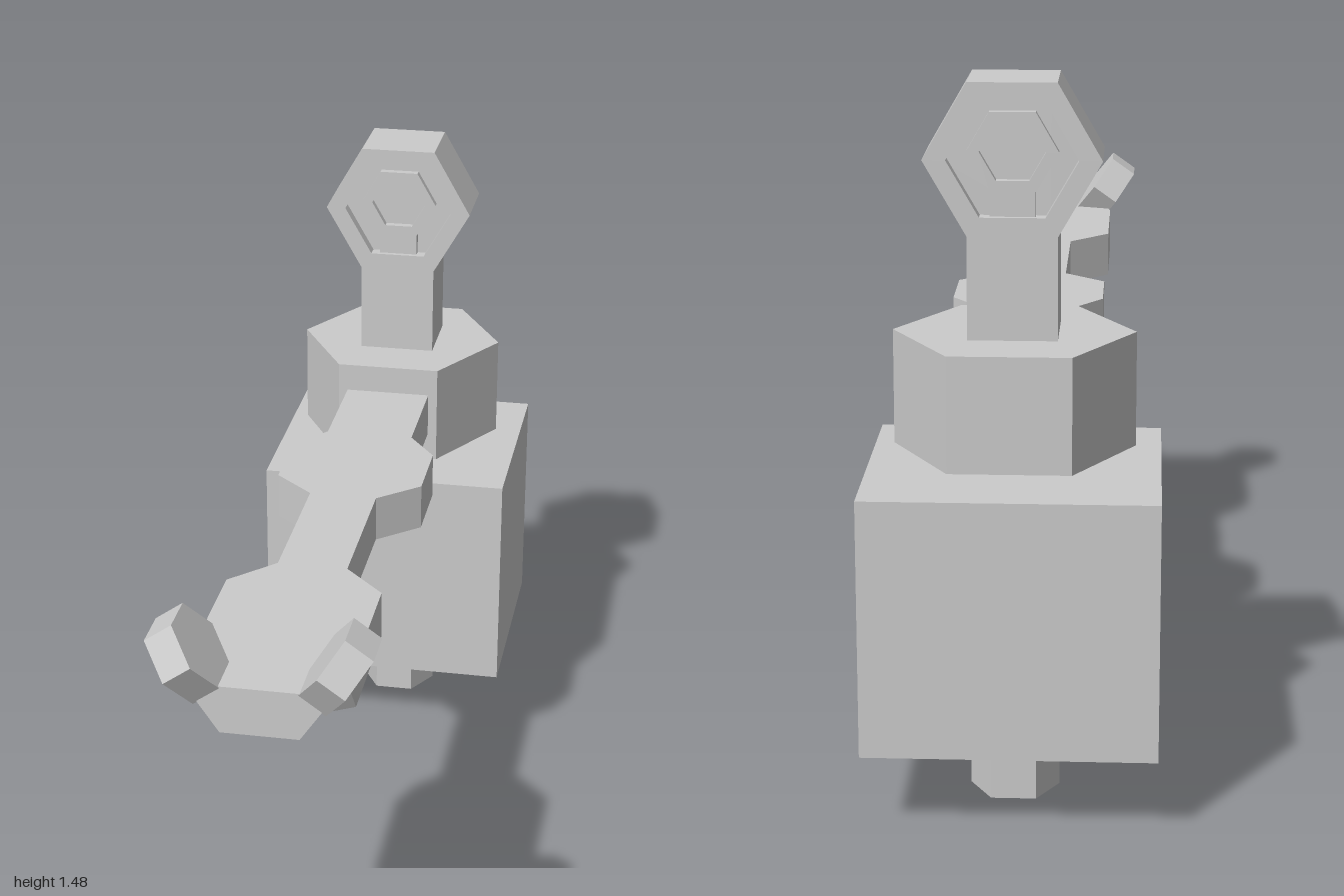
import * as THREE from 'three';

const material = new THREE.MeshStandardMaterial({ color: 0xcccccc, flatShading: true, side: THREE.DoubleSide });
const AXIS_Z = -0.735; // depth of the upright axis

function add(parent, name, geometry, x = 0, y = 0, z = 0) {
  const mesh = new THREE.Mesh(geometry, material);
  mesh.name = name;
  mesh.position.set(x, y, z);
  parent.add(mesh);
  return mesh;
}

// Upright hexagonal prism with corners on the x axis
function hexPrism(radius, height) {
  return new THREE.CylinderGeometry(radius, radius, height, 6).rotateY(Math.PI / 6);
}

function hexPoints(radius, cy = 0) {
  return Array.from({ length: 6 }, (_, i) => {
    const a = (i * Math.PI) / 3;
    return new THREE.Vector2(radius * Math.cos(a), cy + radius * Math.sin(a));
  });
}

// Hexagonal plate facing z, optionally with a hexagonal hole
function hexPlate(radius, depth, holeRadius = 0, holeY = 0) {
  const shape = new THREE.Shape(hexPoints(radius));
  if (holeRadius) shape.holes.push(new THREE.Path(hexPoints(holeRadius, holeY)));
  return new THREE.ExtrudeGeometry(shape, { depth, bevelEnabled: false }).translate(0, 0, -depth / 2);
}

// Loft of four-cornered sections [z, half width at top, half width at bottom]
function loftBar(sections, yTop, yBottom) {
  const rings = sections.map(([z, t, b]) => [[t, yTop, z], [-t, yTop, z], [-b, yBottom, z], [b, yBottom, z]]);
  const pos = [];
  const quad = (a, b, c, d) => pos.push(...a, ...b, ...c, ...a, ...c, ...d);
  for (let i = 0; i < rings.length - 1; i++) {
    for (let j = 0; j < 4; j++) {
      const k = (j + 1) % 4;
      quad(rings[i][j], rings[i][k], rings[i + 1][k], rings[i + 1][j]);
    }
  }
  const [p, q] = [rings[0], rings[rings.length - 1]];
  quad(p[3], p[2], p[1], p[0]);
  quad(q[0], q[1], q[2], q[3]);
  const geometry = new THREE.BufferGeometry();
  geometry.setAttribute('position', new THREE.Float32BufferAttribute(pos, 3));
  geometry.computeVertexNormals();
  return geometry;
}

export function createModel() {
  const model = new THREE.Group();
  model.name = 'model';

  // Base block on its shaft, with the collar above
  add(model, 'shaft', hexPrism(0.092, 0.8), 0, 0.4, AXIS_Z);
  add(model, 'baseBlock', new THREE.BoxGeometry(0.59, 0.53, 0.53), 0, 0.43, AXIS_Z);
  add(model, 'collar', hexPrism(0.243, 0.235), 0, 0.853, AXIS_Z);

  // Post and hexagonal head with recessed rings on both faces
  add(model, 'post', new THREE.BoxGeometry(0.178, 0.24, 0.168), 0, 1.065, AXIS_Z);
  const head = new THREE.Group();
  head.name = 'head';
  head.position.set(0, 1.327, AXIS_Z);
  model.add(head);
  add(head, 'headRim', hexPlate(0.175, 0.168, 0.129));
  add(head, 'headCore', hexPlate(0.15, 0.11));
  add(head, 'innerRing', hexPlate(0.09, 0.145, 0.065), 0, 0.015, 0);
  add(head, 'innerRingStem', new THREE.BoxGeometry(0.09, 0.06, 0.145), 0, -0.091, 0);

  // Long arm with two widened stretches and a narrowed tip
  const arm = [
    [-0.6, 0.1], [-0.27, 0.1], [-0.18, 0.165], [-0.01, 0.165], [0.07, 0.075],
    [0.42, 0.075], [0.515, 0.165], [0.81, 0.165], [0.86, 0.15, 0.08], [0.955, 0.15, 0.08],
  ].map(([z, top, bottom = top]) => [z, top, bottom]);
  add(model, 'arm', loftBar(arm, 0.905, 0.802));

  // Pair of tilted hexagonal prongs at the tip
  for (const side of [1, -1]) {
    const prong = add(model, side > 0 ? 'leftProng' : 'rightProng',
      new THREE.CylinderGeometry(0.093, 0.093, 0.068, 6), side * 0.151, 0.945, 0.907);
    prong.rotation.z = -side * 2.19;
  }
  return model;
}
